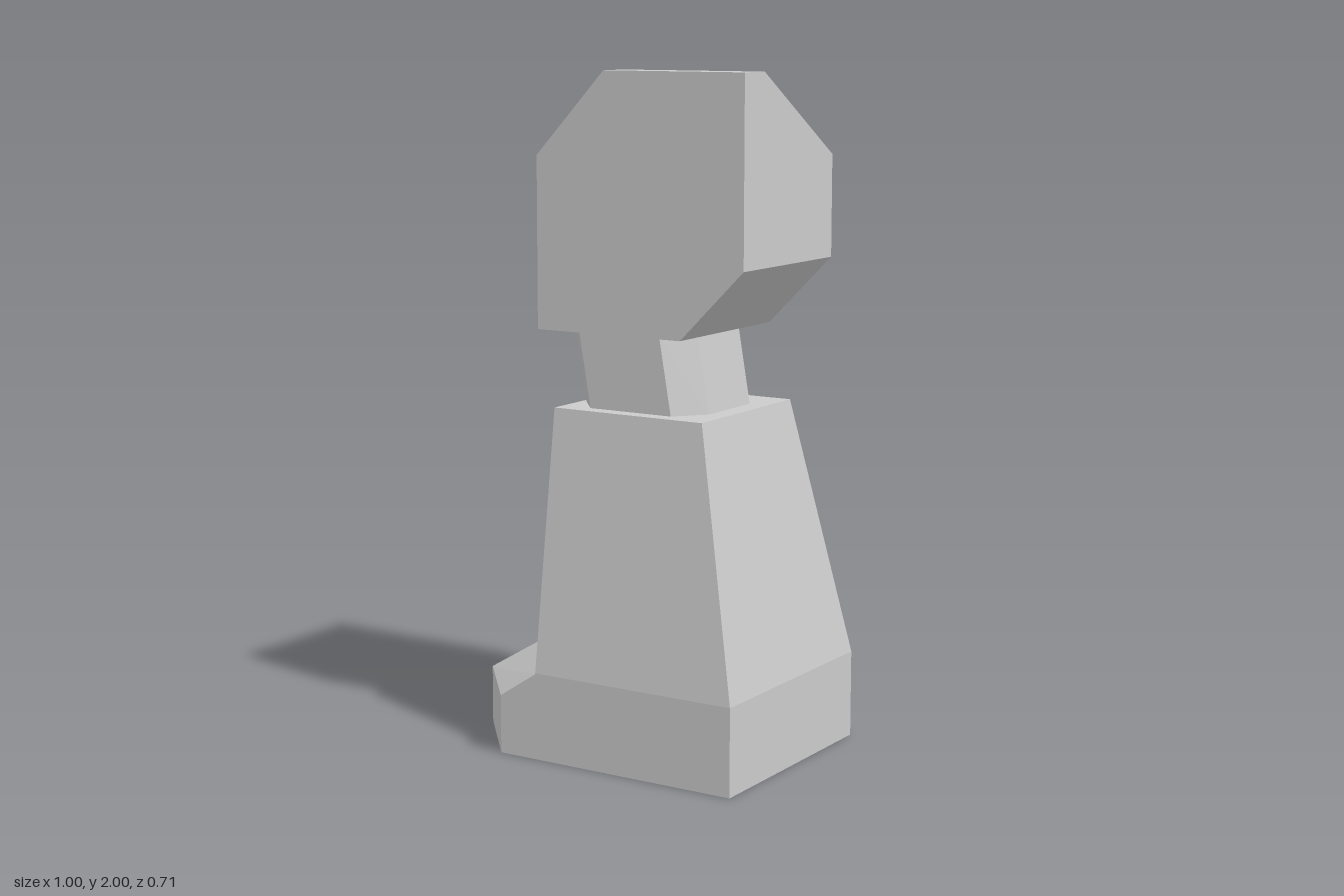
import * as THREE from 'three';
import { ConvexGeometry } from 'three/addons/geometries/ConvexGeometry.js';

const material = new THREE.MeshStandardMaterial({ color: 0xcccccc, flatShading: true });

// Faceted solid spanned by its corner points
function solid(name, corners) {
  const points = corners.map(([x, y, z]) => new THREE.Vector3(x, y, z));
  const mesh = new THREE.Mesh(new ConvexGeometry(points), material);
  mesh.name = name;
  return mesh;
}

// Each [x, y, z] gives a corner at +z and one at -z
const mirrorZ = (corners) => corners.flatMap(([x, y, z]) => [[x, y, z], [x, y, -z]]);

export function createModel() {
  const model = new THREE.Group();
  model.name = 'leg';

  // Tapered lower leg with an upright base band
  model.add(solid('lowerLeg', mirrorZ([
    [-0.165, 0, 0.357], [0.495, 0, 0.357],
    [-0.165, 0.26, 0.357], [0.495, 0.26, 0.357],
    [-0.165, 1.03, 0.25], [0.335, 1.03, 0.25],
  ])));

  // Bevelled toe in front of the shin
  model.add(solid('toe', mirrorZ([
    [-0.165, 0, 0.357], [-0.29, 0, 0.357], [-0.5, 0, 0.112],
    [-0.165, 0.257, 0.357], [-0.29, 0.175, 0.357], [-0.5, 0.175, 0.112],
    [-0.165, 0.375, 0.112],
  ])));

  // Leaning eight-sided joint
  const ring = (y, cx) => [-1, 1].flatMap((s) => mirrorZ([
    [cx + s * 0.21, y, 0.115], [cx + s * 0.137, y, 0.203],
  ]));
  model.add(solid('joint', [...ring(1.03, 0.066), ...ring(1.255, 0.027)]));

  // Upper block: bevelled lower edge, two sloping planes meeting in a hip on top
  model.add(solid('upperBlock', [
    ...mirrorZ([
      [-0.222, 1.255, 0.25], [0.262, 1.255, 0.25],
      [0.467, 1.46, 0.25], [-0.222, 1.757, 0.25],
    ]),
    [0.467, 1.757, -0.25],
    [0.008, 2, 0.143], [0.467, 2, 0.143],
    [0.008, 2, 0.25], [0.467, 2, 0.25],
  ]));

  return model;
}
